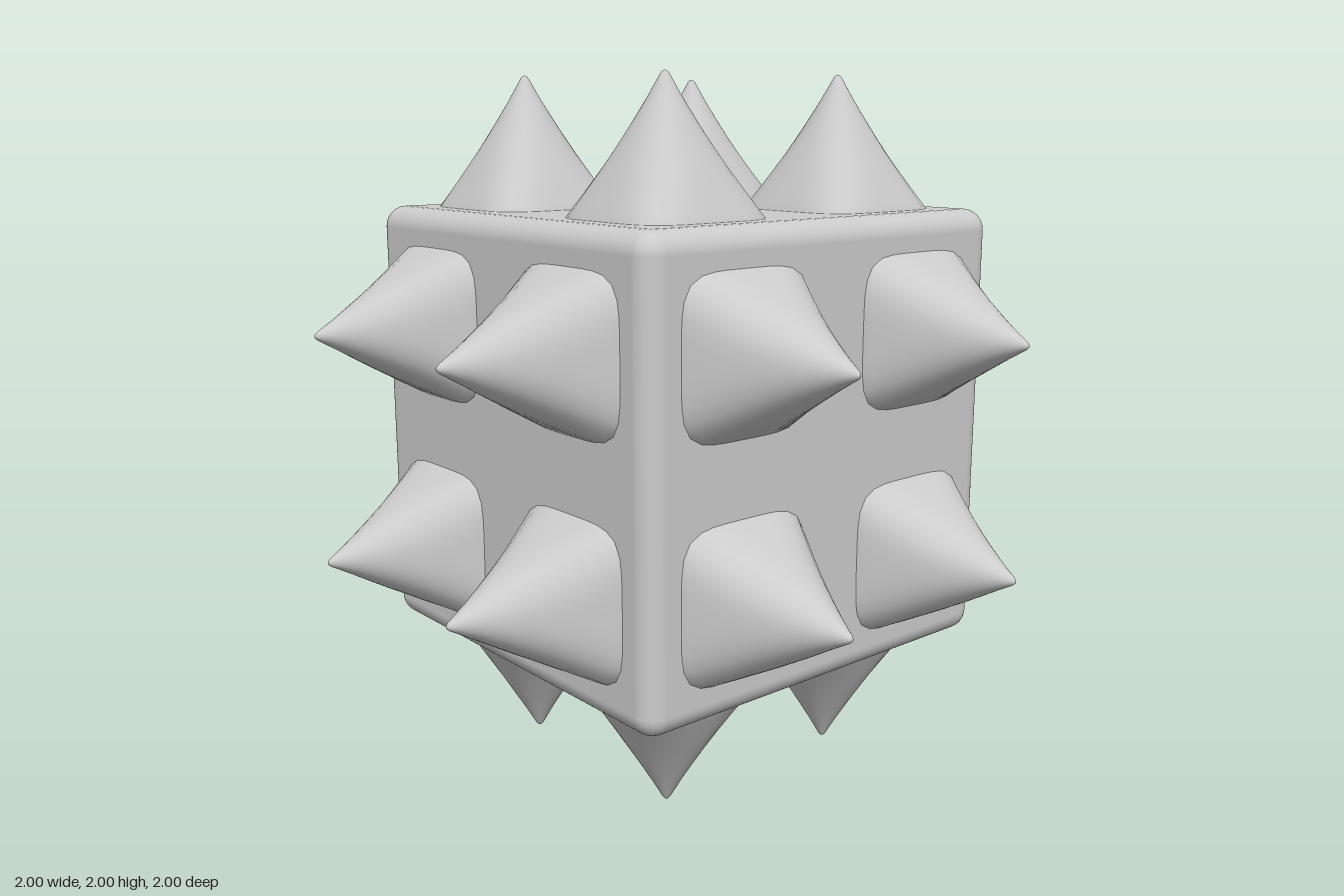
import * as THREE from 'three';
import { RoundedBoxGeometry } from 'three/addons/geometries/RoundedBoxGeometry.js';

const HALF = 0.63;    // half the cube's side
const OFFSET = 0.315; // spike centre from the middle of a face
const SIDES = 40;

// Spike rings: [half width, height above the face, squareness (2 = round)]
const RINGS = [
  [0.218, -0.02, 5], [0.212, 0, 4.8], [0.203, 0.018, 4.4], [0.187, 0.05, 3.8],
  [0.161, 0.1, 3.1], [0.134, 0.15, 2.6], [0.106, 0.2, 2.3], [0.077, 0.25, 2.1],
  [0.047, 0.3, 2], [0.021, 0.345, 2], [0.012, 0.361, 2], [0.006, 0.368, 2],
];

// Spike along +z: a rounded square at the base that turns into a round cone
function spikeGeometry() {
  const pos = [], index = [];
  for (const [r, h, n] of RINGS) {
    for (let i = 0; i < SIDES; i++) {
      const a = (i / SIDES) * Math.PI * 2;
      const c = Math.cos(a), s = Math.sin(a);
      const k = r / Math.pow(Math.abs(c) ** n + Math.abs(s) ** n, 1 / n);
      pos.push(c * k, s * k, h);
    }
  }
  const tip = pos.length / 3;
  pos.push(0, 0, 0.37);
  const last = RINGS.length - 1;
  for (let j = 0; j <= last; j++) {
    for (let i = 0; i < SIDES; i++) {
      const a = j * SIDES + i, b = j * SIDES + (i + 1) % SIDES;
      if (j === last) index.push(a, b, tip);
      else index.push(a, b, b + SIDES, a, b + SIDES, a + SIDES);
    }
  }
  const geo = new THREE.BufferGeometry();
  geo.setAttribute('position', new THREE.Float32BufferAttribute(pos, 3));
  geo.setIndex(index);
  geo.computeVertexNormals();
  return geo;
}

export function createModel() {
  const model = new THREE.Group();
  model.name = 'spikedCube';
  const material = new THREE.MeshStandardMaterial({ color: 0xcccccc });

  // Cube body with softened edges
  const body = new THREE.Mesh(
    new RoundedBoxGeometry(HALF * 2, HALF * 2, HALF * 2, 5, 0.06), material);
  body.name = 'cubeBody';
  body.position.y = 1;
  model.add(body);

  // Four spikes on each of the six faces
  const spike = spikeGeometry();
  const quarter = Math.PI / 2;
  const faces = {
    front: [0, 0], left: [0, quarter], back: [0, Math.PI],
    right: [0, -quarter], top: [-quarter, 0], bottom: [quarter, 0],
  };
  for (const [name, [rx, ry]] of Object.entries(faces)) {
    const face = new THREE.Group();
    face.name = name + 'Spikes';
    face.position.y = 1;
    face.rotation.set(rx, ry, 0);
    for (const sx of [-1, 1]) {
      for (const sy of [-1, 1]) {
        const mesh = new THREE.Mesh(spike, material);
        mesh.name = 'spike';
        mesh.position.set(sx * OFFSET, sy * OFFSET, HALF);
        face.add(mesh);
      }
    }
    model.add(face);
  }
  return model;
}
